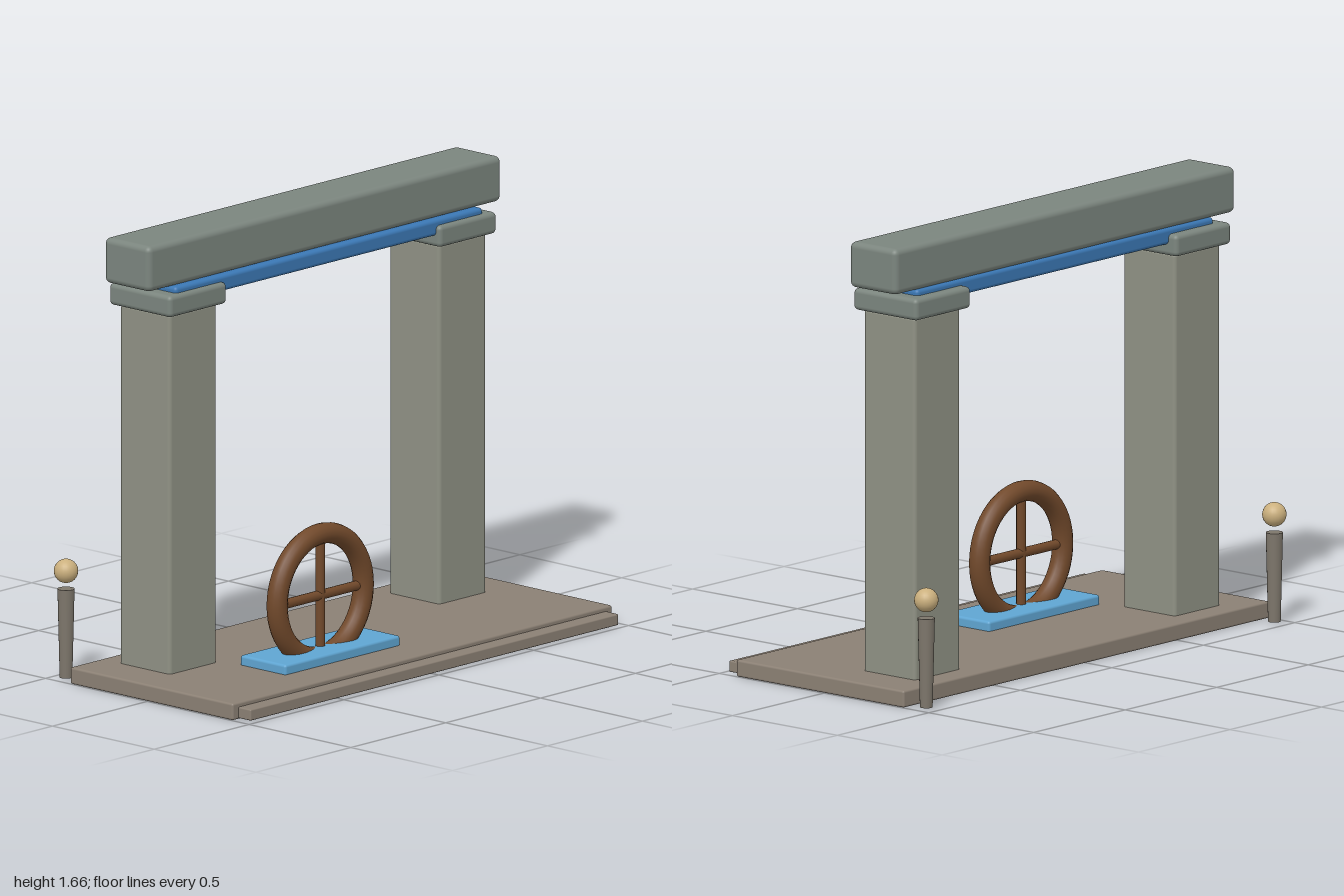
import * as THREE from 'three';
import { RoundedBoxGeometry } from 'three/addons/geometries/RoundedBoxGeometry.js';

const material = (color) => new THREE.MeshStandardMaterial({ color });
const pillarStone = material(0x8f9184);
const lintelStone = material(0x7b857e);
const baseStone = material(0x8b8074);
const postStone = material(0x7d766b);
const darkBlue = material(0x3b78b5);
const lightBlue = material(0x5fa5d2);
const wood = material(0x71492b);
const brass = material(0xcbb07e);

function add(parent, name, geometry, mat, x = 0, y = 0, z = 0) {
  const mesh = new THREE.Mesh(geometry, mat);
  mesh.name = name;
  mesh.position.set(x, y, z);
  parent.add(mesh);
  return mesh;
}

// Rounded block given by its extents along each axis
function block(parent, name, mat, [x0, x1], [y0, y1], [z0, z1], radius) {
  const geometry = new RoundedBoxGeometry(x1 - x0, y1 - y0, z1 - z0, 3, radius);
  return add(parent, name, geometry, mat, (x0 + x1) / 2, (y0 + y1) / 2, (z0 + z1) / 2);
}

export function createModel() {
  const model = new THREE.Group();
  model.name = 'gateway';

  // Floor slab and front step
  block(model, 'baseSlab', baseStone, [-1, 1], [0, 0.062], [-0.38, 0.42], 0.008);
  block(model, 'frontStep', baseStone, [-0.97, 0.97], [0.004, 0.045], [0.3, 0.48], 0.005);

  // Pillars, capitals and rear posts, mirrored left and right
  for (const side of [1, -1]) {
    const label = side > 0 ? 'left' : 'right';
    const span = (a, b) => (side > 0 ? [a, b] : [-b, -a]);
    block(model, label + 'Pillar', pillarStone, span(0.585, 0.835), [0.003, 1.395], [-0.29, -0.043], 0.014);
    block(model, label + 'Capital', lintelStone, span(0.56, 0.862), [1.39, 1.47], [-0.32, -0.016], 0.017);

    const post = new THREE.Group();
    post.name = label + 'Post';
    post.position.set(side * 0.951, 0, -0.445);
    add(post, 'postShaft', new THREE.CylinderGeometry(0.031, 0.023, 0.328, 20), postStone, 0, 0.169, 0);
    add(post, 'postBall', new THREE.SphereGeometry(0.044, 24, 16), brass, 0, 0.399, 0);
    model.add(post);
  }

  // Top beam with the blue strip below it
  block(model, 'blueBeam', darkBlue, [-0.81, 0.81], [1.432, 1.492], [-0.281, -0.036], 0.014);
  block(model, 'lintel', lintelStone, [-0.93, 0.93], [1.49, 1.658], [-0.281, -0.056], 0.022);

  // Wheel standing on its plinth
  block(model, 'wheelPlinth', lightBlue, [-0.558, 0.048], [0.055, 0.098], [0.043, 0.267], 0.01);
  const wheel = new THREE.Group();
  wheel.name = 'wheel';
  wheel.position.set(-0.256, 0.285, 0.156);
  add(wheel, 'rim', new THREE.TorusGeometry(0.227, 0.038, 16, 56), wood);
  for (const [name, angle] of [['verticalSpoke', 0], ['horizontalSpoke', Math.PI / 2]]) {
    add(wheel, name, new THREE.CylinderGeometry(0.018, 0.018, 0.42, 12), wood).rotation.z = angle;
  }
  model.add(wheel);

  return model;
}
